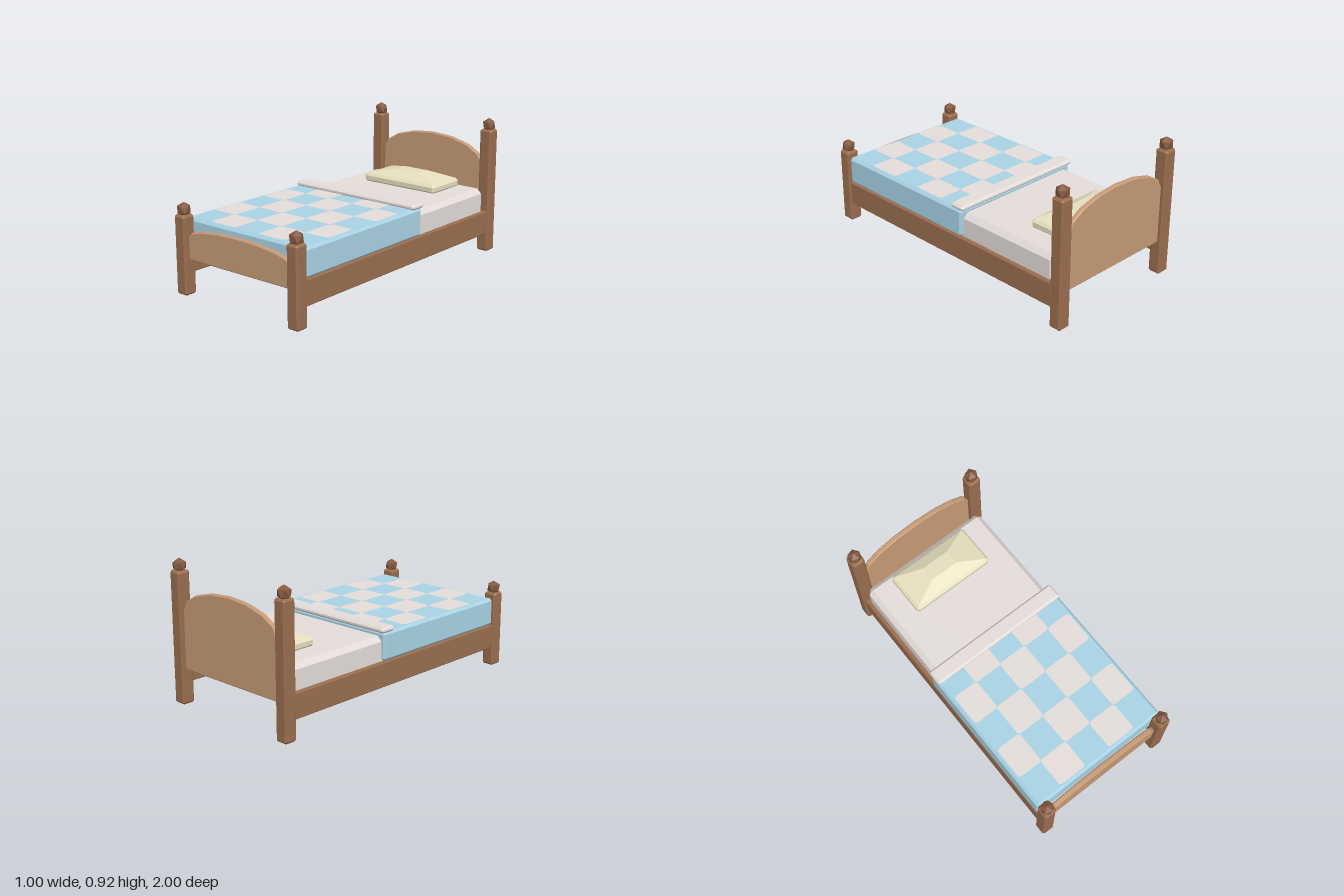
import * as THREE from 'three';
import { ConvexGeometry } from 'three/addons/geometries/ConvexGeometry.js';

const mat = (name, color) => {
  const m = new THREE.MeshStandardMaterial({ color });
  m.name = name;
  return m;
};

// Corner points of a box whose edges are cut by c
function chamferPoints(x0, x1, y0, y1, z0, z1, c) {
  const pts = [];
  for (const [x, sx] of [[x0, 1], [x1, -1]])
    for (const [y, sy] of [[y0, 1], [y1, -1]])
      for (const [z, sz] of [[z0, 1], [z1, -1]])
        pts.push(
          new THREE.Vector3(x, y + sy * c, z + sz * c),
          new THREE.Vector3(x + sx * c, y, z + sz * c),
          new THREE.Vector3(x + sx * c, y + sy * c, z));
  return pts;
}

const chamferBox = (...a) => new ConvexGeometry(chamferPoints(...a));

// Arched board with bevelled rims; arch lists the right half from side to middle
function archedBoard(arch, bottom, depth) {
  const b = 0.007;
  const left = arch.slice(0, -1).reverse().map(([x, y]) => [-x, y]);
  const outline = [[-0.412, bottom], [0.412, bottom], ...arch, ...left];
  const shape = new THREE.Shape(outline.map(([x, y]) => new THREE.Vector2(x, y)));
  const g = new THREE.ExtrudeGeometry(shape, {
    depth: depth - 2 * b, bevelEnabled: true, bevelSize: b,
    bevelThickness: b, bevelOffset: -b, bevelSegments: 1,
  });
  return g.translate(0, 0, b - depth / 2);
}

// Flat rounded rectangle lying face up
function patch(x0, x1, z0, z1, y, r) {
  const s = new THREE.Shape();
  const y0 = -z1, y1 = -z0;
  s.moveTo(x0 + r, y0);
  s.lineTo(x1 - r, y0);
  s.quadraticCurveTo(x1, y0, x1, y0 + r);
  s.lineTo(x1, y1 - r);
  s.quadraticCurveTo(x1, y1, x1 - r, y1);
  s.lineTo(x0 + r, y1);
  s.quadraticCurveTo(x0, y1, x0, y1 - r);
  s.lineTo(x0, y0 + r);
  s.quadraticCurveTo(x0, y0, x0 + r, y0);
  return new THREE.ShapeGeometry(s, 4).rotateX(-Math.PI / 2).translate(0, y, 0);
}

export function createModel() {
  const bed = new THREE.Group();
  bed.name = 'bed';
  const frameWood = mat('frame wood', 0x996d4e);
  const boardWood = mat('board wood', 0xc59a76);
  const finialWood = mat('finial wood', 0x85593f);
  const linen = mat('linen', 0xe3dcd9);
  const blue = mat('blanket blue', 0xa8d2e4);
  const cream = mat('pillow cream', 0xe5ddbd);

  const add = (name, geometry, material) => {
    const m = new THREE.Mesh(geometry, material);
    m.name = name;
    bed.add(m);
    return m;
  };

  // Posts with faceted finials, one point straight up
  const w = 0.044, px = 0.455, pz = 0.956;
  for (const side of [-1, 1]) {
    const lr = side > 0 ? 'Left' : 'Right';
    for (const [end, z, h] of [['front', pz, 0.503], ['back', -pz, 0.84]]) {
      const x = side * px;
      add(end + lr + 'Post', chamferBox(x - w, x + w, 0, h, z - w, z + w, 0.012), frameWood);
      const g = new THREE.IcosahedronGeometry(0.046, 0).rotateZ(-Math.atan(2 / (1 + Math.sqrt(5))));
      add(end + lr + 'Finial', g, finialWood).position.set(x, h + 0.029, z);
    }
    // Side rail
    const rx = side * 0.467;
    add('side' + lr + 'Rail', chamferBox(rx - 0.02, rx + 0.02, 0.125, 0.285, -0.915, 0.915, 0.006), frameWood);
  }

  // Headboard and footboard
  add('headboard', archedBoard(
    [[0.412, 0.602], [0.383, 0.66], [0.295, 0.712], [0.157, 0.748], [0, 0.76]], 0.225, 0.034),
  boardWood).position.z = -0.958;
  add('footboard', archedBoard(
    [[0.412, 0.37], [0.385, 0.398], [0.295, 0.42], [0.157, 0.435], [0, 0.44]], 0.225, 0.034),
  boardWood).position.z = 0.95;

  // Bedding
  add('mattress', chamferBox(-0.461, 0.461, 0.234, 0.441, -0.91, 0.905, 0.032), linen);
  add('blanket', chamferBox(-0.487, 0.487, 0.287, 0.47, -0.168, 0.912, 0.016), blue);
  add('foldedSheet', chamferBox(-0.489, 0.489, 0.464, 0.501, -0.186, -0.079, 0.013), linen);

  // Chequered patches on the blanket
  const cols = [-0.457, -0.291, -0.098, 0.098, 0.291, 0.457];
  const rows = [-0.12, 0.045, 0.258, 0.478, 0.694, 0.885];
  const grow = 0.004;
  for (let r = 0; r < 5; r++)
    for (let c = 0; c < 5; c++)
      if ((r + c) % 2 === 1)
        add('blanketPatch', patch(cols[c] - grow, cols[c + 1] + grow,
          rows[r] - grow, rows[r + 1] + grow, 0.472, 0.022), linen);

  // Pillow: slab with a raised middle
  const pillow = chamferPoints(-0.292, 0.292, 0.435, 0.496, -0.861, -0.564, 0.016);
  for (const x of [-0.097, 0.097])
    for (const z of [-0.763, -0.663]) pillow.push(new THREE.Vector3(x, 0.537, z));
  add('pillow', new ConvexGeometry(pillow), cream);

  return bed;
}
